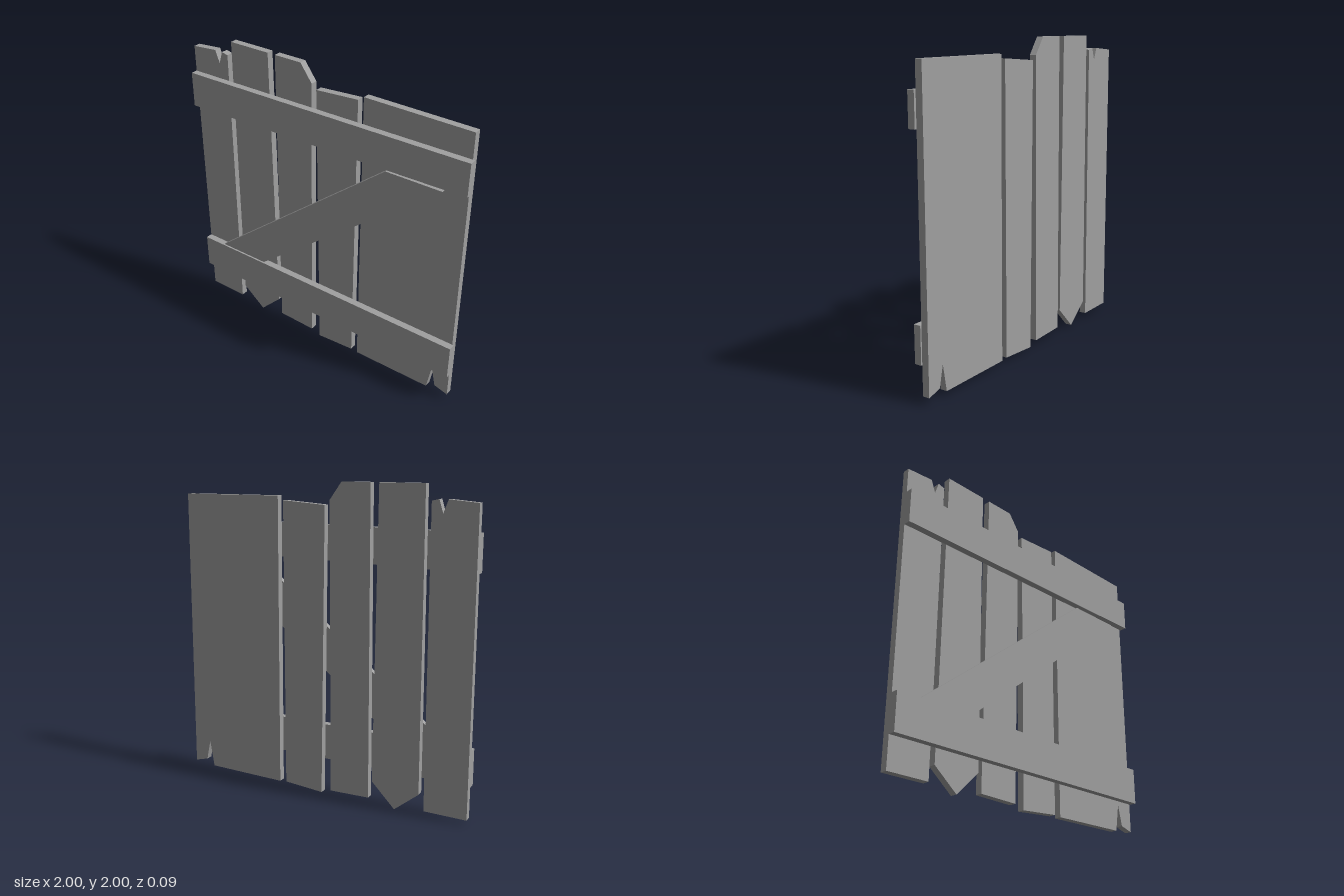
import * as THREE from 'three';

// Outlines are [x, y] corners of each board
const PLANKS = [
  [[-1, 0.03], [-0.725, 0.03], [-0.72, 1.905], [-0.765, 1.915], [-0.79, 1.835], [-0.82, 1.915], [-1, 1.9]],
  [[-0.69, 0.13], [-0.53, 0], [-0.375, 0.155], [-0.395, 2], [-0.683, 2]],
  [[-0.35, 0.04], [-0.083, 0.033], [-0.07, 1.89], [-0.15, 2], [-0.34, 2]],
  [[-0.015, 0.008], [0.253, 0.028], [0.255, 1.88], [-0.037, 1.86]],
  [[0.3, 0.023], [0.84, 0.03], [0.87, 0.205], [0.9, 0.07], [0.992, 0.045], [0.985, 1.903], [0.293, 1.907]],
];
const TOP_RAIL = [[-1, 1.505], [1, 1.538], [1, 1.745], [-1, 1.733]];
const BOTTOM_RAIL = [[-1, 0.225], [1, 0.23], [1, 0.463], [-1, 0.457]];
const BRACE = [[-0.84, 0.457], [-0.475, 0.457], [0.845, 1.512], [0.475, 1.512]];

export function createModel() {
  const group = new THREE.Group();
  group.name = 'plankGate';
  const wood = new THREE.MeshStandardMaterial({ color: 0xa0a0a0 });
  wood.name = 'greyWood';

  // Cut a flat board from its outline, between two depths
  const board = (name, outline, back, front) => {
    const shape = new THREE.Shape(outline.map(([x, y]) => new THREE.Vector2(x, y)));
    const geometry = new THREE.ExtrudeGeometry(shape, { depth: front - back, bevelEnabled: false });
    const mesh = new THREE.Mesh(geometry.translate(0, 0, back), wood);
    mesh.name = name;
    group.add(mesh);
  };

  // Upright planks with chipped and pointed ends
  PLANKS.forEach((outline, i) => board(`plank${i + 1}`, outline, -0.045, 0));

  // Cross rails and the thinner diagonal brace on the front
  board('topRail', TOP_RAIL, 0, 0.045);
  board('bottomRail', BOTTOM_RAIL, 0, 0.045);
  board('diagonalBrace', BRACE, 0, 0.033);

  return group;
}
